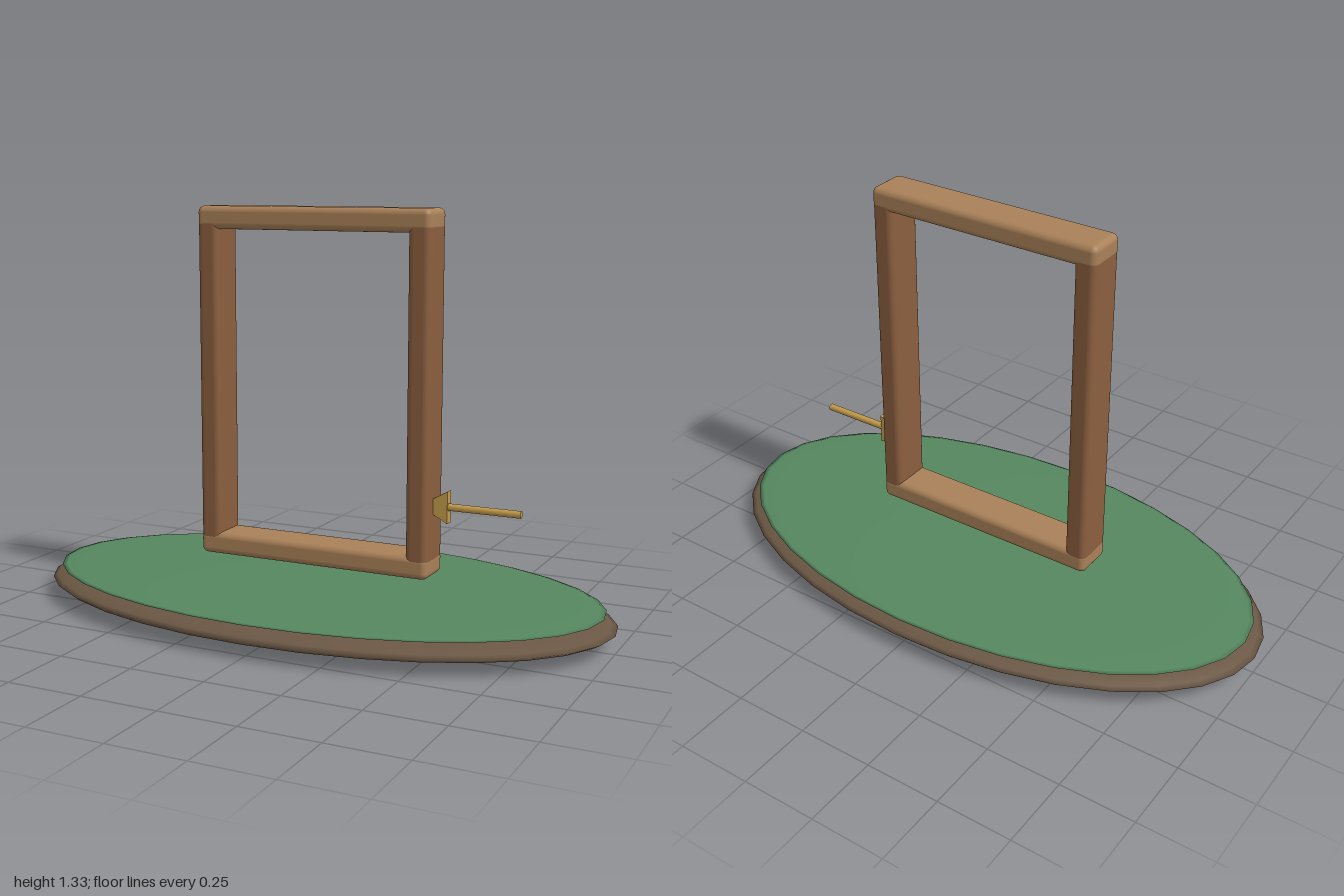
import * as THREE from 'three';
import { RoundedBoxGeometry } from 'three/addons/geometries/RoundedBoxGeometry.js';

const material = (name, color) => {
  const m = new THREE.MeshStandardMaterial({ color });
  m.name = name;
  return m;
};

export function createModel() {
  const model = new THREE.Group();
  const earth = material('earth brown', 0x6b5744);
  const green = material('grass green', 0x55875f);
  const lightWood = material('light wood', 0xa98158);
  const darkWood = material('dark wood', 0x8b5f3f);
  const brass = material('brass', 0xc49c4c);

  const add = (name, geometry, mat, x, y, z) => {
    const mesh = new THREE.Mesh(geometry, mat);
    mesh.name = name;
    mesh.position.set(x, y, z);
    model.add(mesh);
    return mesh;
  };

  // Flattened oval base with a thinner oval of grass on it
  const disc = (name, mat, y, rx, ry, rz) =>
    add(name, new THREE.SphereGeometry(1, 32, 16).scale(rx, ry, rz), mat, 0, y, 0);
  disc('base', earth, 0.058, 1, 0.057, 0.545);
  disc('grass', green, 0.104, 0.963, 0.017, 0.525);

  // Open upright frame: rails overlap the ends of the posts
  for (const [name, y] of [['bottomRail', 0.209], ['topRail', 1.298]]) {
    add(name, new RoundedBoxGeometry(0.82, 0.075, 0.14, 4, 0.021), lightWood, 0, y, 0);
  }
  for (const [name, side] of [['leftPost', 1], ['rightPost', -1]]) {
    add(name, new RoundedBoxGeometry(0.075, 1.09, 0.139, 4, 0.021), darkWood, side * 0.372, 0.754, 0);
  }

  // Flared bracket and rod on the left post
  const flare = new THREE.Shape([
    new THREE.Vector2(0.4, -0.02), new THREE.Vector2(0.457, -0.052),
    new THREE.Vector2(0.457, 0.052), new THREE.Vector2(0.4, 0.02),
  ]);
  add('bracket', new THREE.ExtrudeGeometry(flare, { depth: 0.03, bevelEnabled: false }),
    brass, 0, 0.403, -0.015);
  const rod = new THREE.CylinderGeometry(0.012, 0.012, 0.25, 12).rotateZ(Math.PI / 2);
  add('rod', rod, brass, 0.57, 0.403, 0);

  return model;
}
